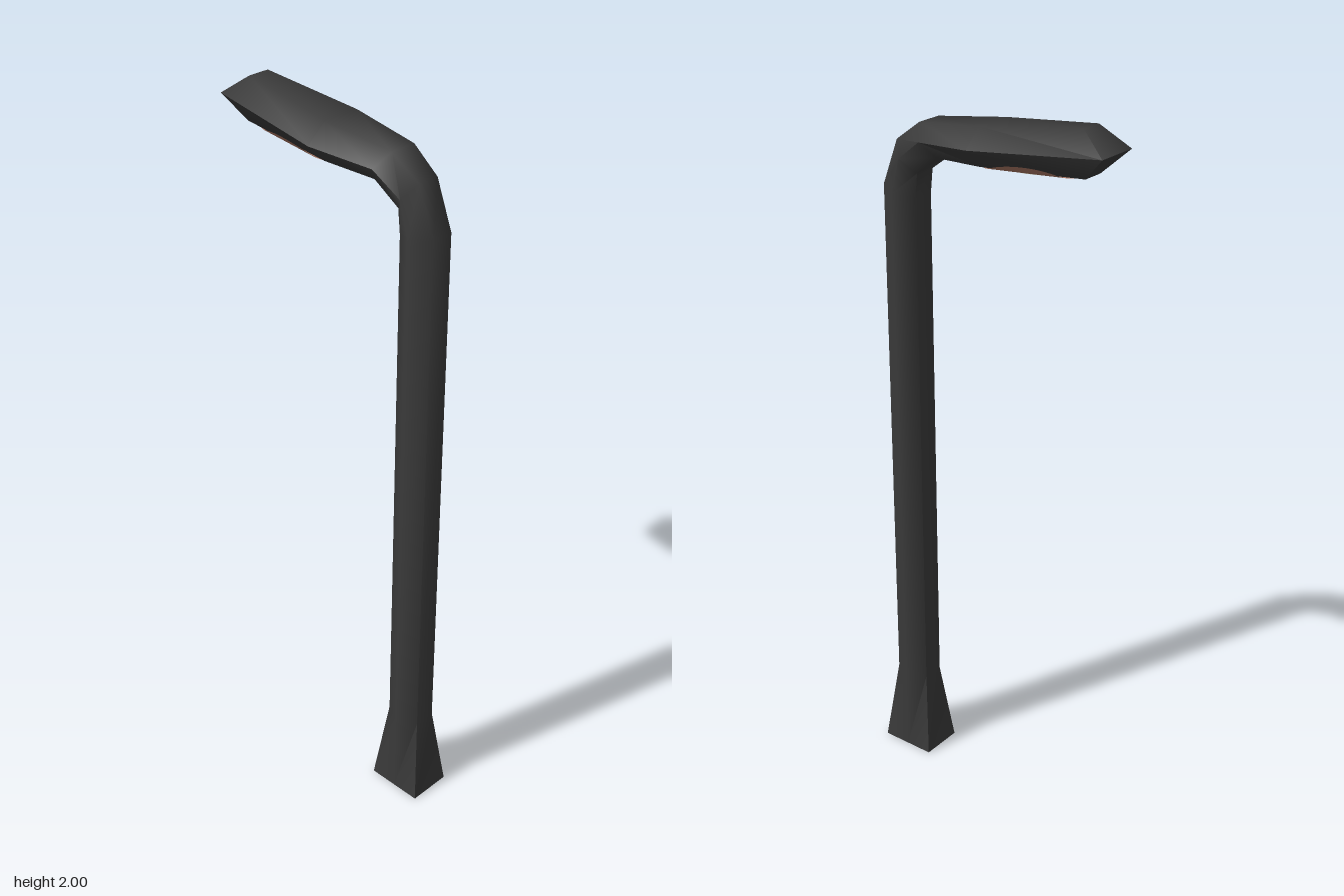
import * as THREE from 'three';
import { toCreasedNormals } from 'three/addons/utils/BufferGeometryUtils.js';

// Six-sided cross-sections: outer, middle and inner (x, y), half width, half width of outer/inner faces
const SECTIONS = [
  [0.365, 0, 0.2825, 0, 0.2, 0, 0.063, 0.063],
  [0.336, 0.25, 0.2825, 0.25, 0.229, 0.25, 0.063, 0.0315],
  [0.336, 1.755, 0.2825, 1.745, 0.229, 1.735, 0.063, 0.0315],
  [0.287, 1.882, 0.256, 1.842, 0.222, 1.802, 0.063, 0.0315],
  [0.205, 1.94, 0.178, 1.9, 0.15, 1.856, 0.077, 0.038],
  [0, 1.965, 0, 1.917, 0, 1.864, 0.112, 0.056],
  [-0.29, 2, -0.365, 1.945, -0.298, 1.88, 0.063, 0.0315],
];

function sweepGeometry() {
  const positions = [], indices = [];
  for (const [ox, oy, mx, my, ix, iy, w, h] of SECTIONS) {
    positions.push(ox, oy, h, ox, oy, -h, mx, my, -w, ix, iy, -h, ix, iy, h, mx, my, w);
  }
  for (let i = 0; i < SECTIONS.length - 1; i++) {
    for (let j = 0; j < 6; j++) {
      const a = i * 6 + j, b = i * 6 + (j + 1) % 6;
      indices.push(a, b, b + 6, a, b + 6, a + 6);
    }
  }
  // wedge-shaped end of the head
  const e = (SECTIONS.length - 1) * 6;
  indices.push(e, e + 1, e + 2, e, e + 2, e + 5, e + 5, e + 2, e + 3, e + 5, e + 3, e + 4);
  const geometry = new THREE.BufferGeometry();
  geometry.setAttribute('position', new THREE.Float32BufferAttribute(positions, 3));
  geometry.setIndex(indices);
  return toCreasedNormals(geometry, 1.2);
}

// Cut out a run of segments, keeping the shared smooth normals
function slice(source, from, to) {
  const geometry = new THREE.BufferGeometry();
  for (const key of ['position', 'normal']) {
    const part = source.getAttribute(key).array.slice(from * 108, to * 108);
    geometry.setAttribute(key, new THREE.BufferAttribute(part, 3));
  }
  return geometry;
}

// Point under the head; |s| <= 1 is the flat bottom, |s| from 1 to 2 climbs the side
function underside(x, s, drop) {
  const [near, mid, far] = SECTIONS.slice(4);
  const [a, b] = x > 0 ? [mid, near] : [mid, far];
  const mix = (k, kx) => THREE.MathUtils.lerp(a[k], b[k], (x - a[kx]) / (b[kx] - a[kx]));
  const y = mix(5, 4), h = mix(7, 4);
  const climb = Math.max(0, Math.abs(s) - 1);
  const side = Math.sign(s) * (Math.min(1, Math.abs(s)) * h + climb * (mix(6, 2) - h));
  return [x, y + climb * (mix(3, 2) - y) - drop, side + Math.sign(s) * (climb > 0 ? drop * 0.7 : 0)];
}

// Oval plate that follows the underside
function lampPlate(cx, halfLength, sMax, drop) {
  const rows = 28, columns = 12, positions = [], indices = [];
  for (let i = 0; i <= rows; i++) {
    const s = sMax * Math.sin((i / rows - 0.5) * Math.PI);
    const reach = halfLength * Math.sqrt(Math.max(0, 1 - (s / sMax) ** 2));
    for (let j = 0; j <= columns; j++) {
      positions.push(...underside(cx + reach * (2 * j / columns - 1), s, drop));
      if (i < rows && j < columns) {
        const a = i * (columns + 1) + j, b = a + columns + 1;
        indices.push(a, a + 1, b + 1, a, b + 1, b);
      }
    }
  }
  const geometry = new THREE.BufferGeometry();
  geometry.setAttribute('position', new THREE.Float32BufferAttribute(positions, 3));
  geometry.setIndex(indices);
  geometry.computeVertexNormals();
  return geometry;
}

export function createModel() {
  const paint = (name, color) => {
    const material = new THREE.MeshStandardMaterial({ color, side: THREE.DoubleSide });
    material.name = name;
    return material;
  };
  const charcoal = paint('charcoal metal', 0x3a3a3a);
  const amber = paint('dull copper', 0xa87561);
  const glass = paint('pale lamp glass', 0xb0b29c);

  const model = new THREE.Group();
  model.name = 'streetLamp';
  const add = (name, geometry, material) => {
    const mesh = new THREE.Mesh(geometry, material);
    mesh.name = name;
    model.add(mesh);
  };

  // Post parts, from the ground up
  const sweep = sweepGeometry();
  add('flaredBase', slice(sweep, 0, 1), charcoal);
  add('pole', slice(sweep, 1, 2), charcoal);
  add('bentNeck', slice(sweep, 2, 4), charcoal);
  add('lampHead', slice(sweep, 4, 7), charcoal);

  // Light under the head
  add('lampSurround', lampPlate(-0.13, 0.16, 1.35, 0.003), amber);
  add('lampGlass', lampPlate(-0.135, 0.1, 0.8, 0.006), glass);
  return model;
}
